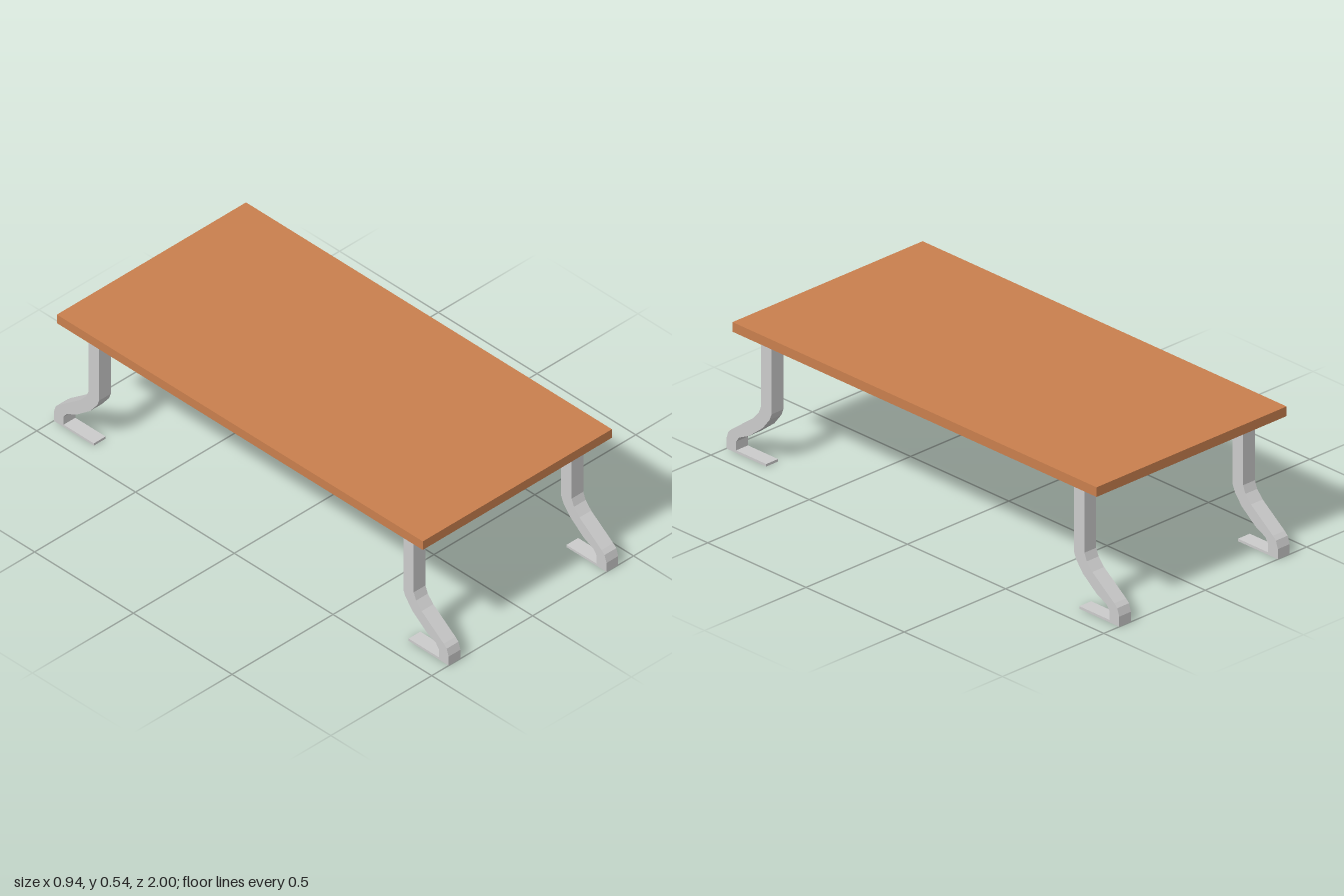
import * as THREE from 'three';

// Side outline of a leg: x = distance outwards along z, y = height
const LEG_PROFILE = [
  [0.77, 0.505], [0.77, 0.215], [0.78, 0.19], [0.815, 0.145], [0.885, 0.09],
  [0.935, 0.066], [0.95, 0.045], [0.95, 0.01], [0.797, 0.01], [0.797, 0],
  [1.0, 0], [1.0, 0.04], [0.99, 0.07], [0.975, 0.084], [0.863, 0.168],
  [0.835, 0.2], [0.823, 0.23], [0.823, 0.505],
];
const LEG_WIDTH = 0.058;

export function createModel() {
  const group = new THREE.Group();
  const wood = new THREE.MeshStandardMaterial({ color: 0xc97f4e });
  const metal = new THREE.MeshStandardMaterial({ color: 0xcccccc, flatShading: true });

  // Flat slab top
  const top = new THREE.Mesh(new THREE.BoxGeometry(0.937, 0.038, 1.853), wood);
  top.name = 'tableTop';
  top.position.set(-0.001, 0.521, -0.003);
  group.add(top);

  // Curved leg with its thin foot plate, extruded across the width
  const shape = new THREE.Shape(LEG_PROFILE.map(([z, y]) => new THREE.Vector2(z, y)));
  const legGeometry = new THREE.ExtrudeGeometry(shape, { depth: LEG_WIDTH, bevelEnabled: false });
  legGeometry.translate(0, 0, -LEG_WIDTH / 2);

  // One leg per corner, feet sweeping out towards the two ends
  for (const [end, turn] of [['front', -Math.PI / 2], ['back', Math.PI / 2]]) {
    for (const [side, x] of [['Left', 0.395], ['Right', -0.387]]) {
      const leg = new THREE.Mesh(legGeometry, metal);
      leg.name = `${end}${side}Leg`;
      leg.rotation.y = turn;
      leg.position.x = x;
      group.add(leg);
    }
  }
  return group;
}
